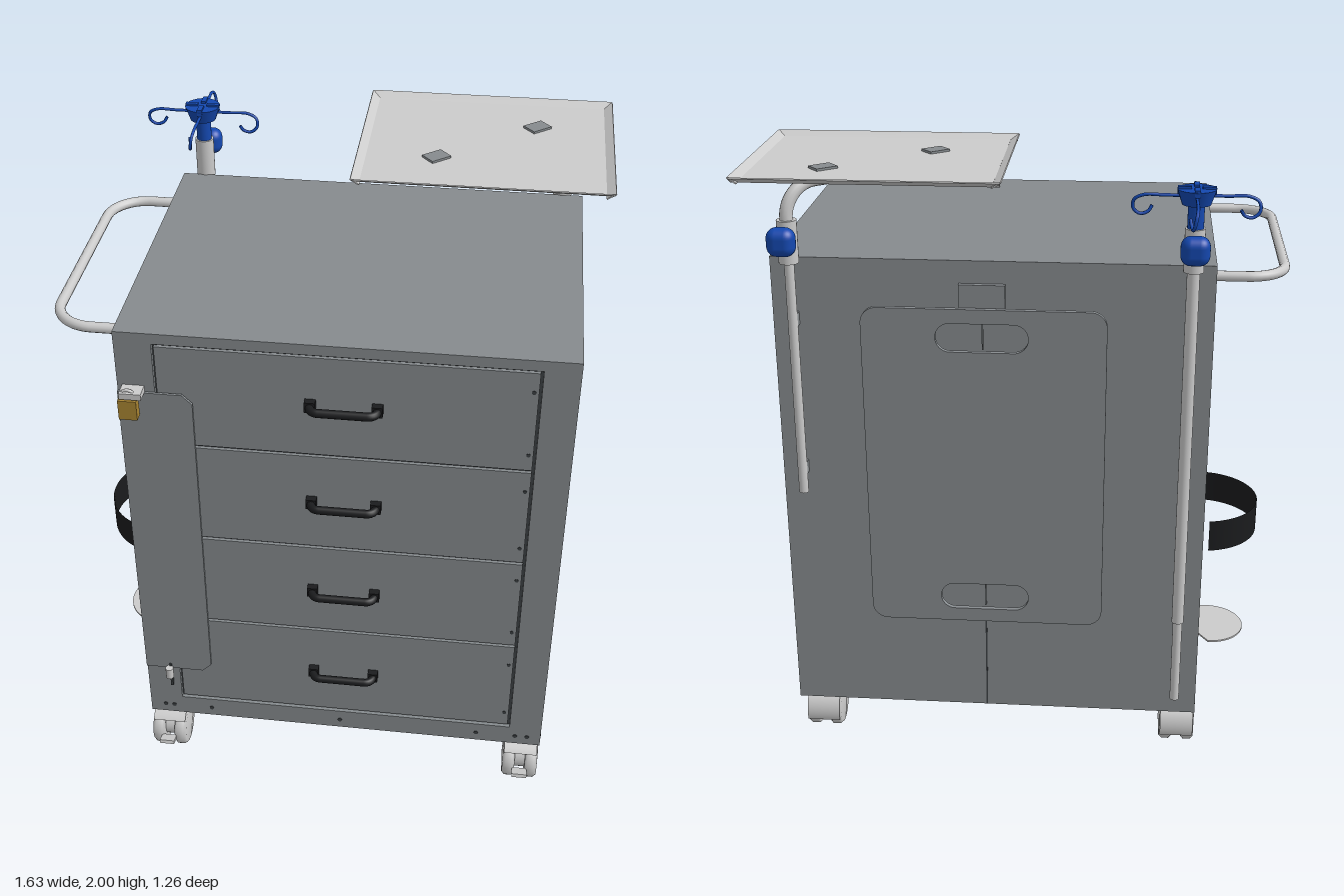
import * as THREE from 'three';
import { RoundedBoxGeometry } from 'three/addons/geometries/RoundedBoxGeometry.js';

const mat = (color) => new THREE.MeshStandardMaterial({ color, side: THREE.DoubleSide });
const V = (x, y, z) => new THREE.Vector3(x, y, z);

export function createModel() {
  const root = new THREE.Group();
  const steel = mat(0x868b8e), light = mat(0xcccccc), dark = mat(0x3c4043);
  const black = mat(0x1a1b1d), blue = mat(0x1448b0), brass = mat(0xa88432);

  const add = (name, geo, m, x = 0, y = 0, z = 0, parent = root) => {
    const mesh = new THREE.Mesh(geo, m);
    mesh.name = name;
    mesh.position.set(x, y, z);
    parent.add(mesh);
    return mesh;
  };
  // box given by its limits on each axis
  const box = (name, m, x0, x1, y0, y1, z0, z1, parent = root) =>
    add(name, new THREE.BoxGeometry(x1 - x0, y1 - y0, z1 - z0), m, (x0 + x1) / 2, (y0 + y1) / 2, (z0 + z1) / 2, parent);
  // cylinder along x, y or z
  const cyl = (name, m, r, len, axis, x, y, z, parent = root, rTop = r) => {
    const geo = new THREE.CylinderGeometry(rTop, r, len, 24);
    if (axis === 'x') geo.rotateZ(Math.PI / 2);
    if (axis === 'z') geo.rotateX(Math.PI / 2);
    return add(name, geo, m, x, y, z, parent);
  };
  // round tube through straight runs with rounded bends
  const bentTube = (name, m, pts, bend, r, parent = root) => {
    const path = new THREE.CurvePath();
    let from = pts[0];
    for (let i = 1; i < pts.length - 1; i++) {
      const a = pts[i].clone().add(pts[i - 1].clone().sub(pts[i]).setLength(bend));
      const b = pts[i].clone().add(pts[i + 1].clone().sub(pts[i]).setLength(bend));
      const c1 = a.clone().lerp(pts[i], 0.55), c2 = b.clone().lerp(pts[i], 0.55);
      path.add(new THREE.LineCurve3(from, a));
      path.add(new THREE.CubicBezierCurve3(a, c1, c2, b));
      from = b;
    }
    path.add(new THREE.LineCurve3(from, pts[pts.length - 1]));
    return add(name, new THREE.TubeGeometry(path, 64, r, 12), m, 0, 0, 0, parent);
  };
  const roundRect = (S, x0, x1, y0, y1, r) => {
    const s = new S();
    s.absarc(x1 - r, y1 - r, r, 0, Math.PI / 2);
    s.absarc(x0 + r, y1 - r, r, Math.PI / 2, Math.PI);
    s.absarc(x0 + r, y0 + r, r, Math.PI, Math.PI * 1.5);
    s.absarc(x1 - r, y0 + r, r, Math.PI * 1.5, Math.PI * 2);
    s.closePath();
    return s;
  };
  const polygon = (pts) => new THREE.Shape(pts.map(([x, y]) => new THREE.Vector2(x, y)));
  const extrude = (shape, depth) =>
    new THREE.ExtrudeGeometry(shape, { depth, bevelEnabled: false, curveSegments: 16 });

  // Cabinet body: plan outline (x, -z) with a recess in each side
  const plan = polygon([[-0.58, -0.555], [0.745, -0.555], [0.745, -0.375], [0.635, -0.375], [0.635, 0.21],
    [0.745, 0.21], [0.745, 0.42], [-0.58, 0.42], [-0.58, 0.21], [-0.47, 0.21], [-0.47, -0.375], [-0.58, -0.375]]);
  add('cabinetBody', extrude(plan, 1.51).rotateX(-Math.PI / 2), steel, 0, 0.19, 0);
  box('topPlate', steel, -0.58, 0.745, 1.7, 1.73, -0.42, 0.572);

  // Front frame and drawers
  const frame = polygon([[-0.58, 0.19], [0.745, 0.19], [0.745, 1.7], [-0.58, 1.7]]);
  frame.holes.push(polygon([[-0.47, 0.265], [0.64, 0.265], [0.64, 1.695], [-0.47, 1.695]]));
  add('frontFrame', extrude(frame, 0.016), steel, 0, 0, 0.555);
  box('drawerGapBacking', dark, -0.47, 0.64, 0.265, 1.695, 0.554, 0.557);
  const edges = [0.27, 0.635, 0.985, 1.34, 1.69];
  for (let i = 0; i < 4; i++) {
    box('drawerFront', steel, -0.464, 0.632, edges[i] + 0.005, edges[i + 1] - 0.005, 0.556, 0.568);
    const y = 0.455 + i * 0.357;
    bentTube('drawerHandle', black, [V(-0.015, y, 0.565), V(-0.015, y, 0.612), V(0.18, y, 0.612), V(0.18, y, 0.565)], 0.025, 0.013);
    for (const x of [-0.015, 0.18]) box('handleFoot', black, x - 0.016, x + 0.016, y - 0.017, y + 0.017, 0.566, 0.59);
    for (const dy of [0.06, 0.28]) cyl('drawerScrew', dark, 0.006, 0.004, 'z', 0.618, edges[i] + dy, 0.568);
  }

  // Locking bar, padlock and latch
  add('lockBar', extrude(polygon([[-0.58, 0.41], [-0.39, 0.41], [-0.36, 0.44], [-0.36, 1.5], [-0.39, 1.53], [-0.58, 1.53]]), 0.008),
    steel, 0, 0, 0.572);
  box('hasp', light, -0.565, -0.5, 1.53, 1.55, 0.57, 0.62);
  box('padlockBody', brass, -0.57, -0.515, 1.46, 1.525, 0.592, 0.622);
  add('padlockShackle', new THREE.TorusGeometry(0.02, 0.005, 8, 20, Math.PI), light, -0.542, 1.535, 0.607);
  for (const x of [-0.562, -0.522]) cyl('shackleLeg', light, 0.005, 0.025, 'y', x, 1.525, 0.607);
  box('latch', dark, -0.502, -0.494, 0.33, 0.43, 0.572, 0.583);
  cyl('latchPin', light, 0.013, 0.04, 'y', -0.5, 0.4, 0.592);

  // Screws along the foot, and on the side recess walls
  for (const x of [-0.53, -0.5, -0.37, 0.07, 0.53, 0.66, 0.7]) cyl('footScrew', dark, 0.007, 0.005, 'z', x, 0.225, 0.571);
  for (const [x, z] of [[0.636, 0.08], [-0.471, 0.08]]) {
    for (const dz of [-0.175, 0.175])
      for (const y of [0.455, 0.805, 1.165, 1.52]) cyl('sideScrew', dark, 0.007, 0.008, 'x', x, y, z + dz);
    for (const dz of [-0.265, 0.265])
      for (const y of [0.705, 1.21]) cyl('sideScrew', dark, 0.008, 0.008, 'x', x, y, z + dz);
  }
  for (const z of [0.54, 0.5, 0.46, 0.41, -0.25, -0.3, -0.34, -0.39])
    for (const x of [0.745, -0.58]) cyl('cornerScrew', dark, 0.006, 0.005, 'x', x, 0.21, z);

  // Power strip in the right recess
  const strip = extrude(roundRect(THREE.Shape, -0.06, 0.06, -0.21, 0.21, 0.059), 0.045).rotateY(Math.PI / 2);
  add('powerStrip', strip, black, 0.635, 0.625, 0.08);
  for (let i = 0; i < 4; i++) {
    add('socketRim', new THREE.TorusGeometry(0.038, 0.006, 8, 24).rotateY(Math.PI / 2), black, 0.682, 0.49 + i * 0.09, 0.08);
    for (const dz of [-0.014, 0.014]) cyl('socketHole', dark, 0.005, 0.004, 'x', 0.681, 0.49 + i * 0.09, 0.08 + dz);
  }

  // Back panel with two grip slots
  const panel = roundRect(THREE.Shape, -0.265, 0.475, 0.53, 1.59, 0.05);
  for (const y of [0.62, 1.5]) {
    panel.holes.push(roundRect(THREE.Path, -0.03, 0.25, y - 0.045, y + 0.045, 0.044));
    box('slotDivider', steel, 0.108, 0.112, y - 0.045, y + 0.045, -0.43, -0.419);
  }
  add('backPanel', extrude(panel, 0.016), steel, 0, 0, -0.456);
  box('panelSpacer', steel, 0.28, 0.44, 0.58, 1.54, -0.442, -0.419);
  box('panelSpacer', steel, -0.23, -0.06, 0.58, 1.54, -0.442, -0.419);
  box('backSeam', dark, 0.1075, 0.1125, 0.19, 0.53, -0.4215, -0.419);
  box('panelCatch', steel, 0.04, 0.18, 1.57, 1.66, -0.436, -0.419);

  // Push handle on the left side
  bentTube('pushHandle', light, [V(-0.57, 1.67, -0.32), V(-0.795, 1.67, -0.32), V(-0.795, 1.67, 0.465), V(-0.57, 1.67, 0.465)], 0.12, 0.016);

  // Bottle holder band and drip plate in the left recess
  const band = new THREE.CylinderGeometry(0.2, 0.2, 0.11, 32, 1, true, Math.PI * 1.05, Math.PI * 0.9);
  add('bottleBand', band, black, -0.583, 0.695, 0.075);
  box('bandArm', black, -0.615, -0.47, 0.64, 0.75, 0.269, 0.275);
  const drip = new THREE.Shape();
  drip.moveTo(-0.47, 0.05);
  drip.absarc(-0.635, -0.075, 0.125, Math.PI / 2, Math.PI * 1.5);
  drip.lineTo(-0.47, -0.2);
  add('dripPlate', extrude(drip, 0.006).rotateX(-Math.PI / 2), light, 0, 0.238, 0);

  // Two accessory poles on the back
  const pole = (x, bottom) => {
    const g = new THREE.Group();
    g.name = 'pole';
    g.position.set(x, 0, -0.445);
    root.add(g);
    cyl('poleTube', light, 0.015, 1.8 - bottom, 'y', 0, (1.8 + bottom) / 2, 0, g);
    cyl('poleSleeve', light, 0.03, 0.13, 'y', 0, 1.785, 0, g);
    cyl('knobScrew', light, 0.012, 0.06, 'z', 0, 1.805, -0.04, g);
    add('clampKnob', new RoundedBoxGeometry(0.085, 0.085, 0.065, 4, 0.03), blue, 0, 1.805, -0.08, g);
    for (const y of [1.03, 1.52]) box('poleClip', steel, -0.015, 0.015, y, y + 0.04, 0, 0.025, g);
    return g;
  };

  // Left pole with four infusion hooks
  const hookPole = pole(-0.51, 0.26);
  cyl('outerTube', light, 0.019, 1.18, 'y', 0, 1.14, 0, hookPole);
  cyl('hookStem', blue, 0.024, 0.1, 'y', 0, 1.89, 0, hookPole);
  cyl('hookHub', blue, 0.042, 0.045, 'y', 0, 1.943, 0, hookPole, 0.057);
  for (let i = 0; i < 4; i++) {
    const curve = new THREE.CatmullRomCurve3([V(0.03, 1.945, 0), V(0.09, 1.945, 0), V(0.15, 1.945, 0), V(0.178, 1.93, 0.003),
      V(0.18, 1.903, 0.008), V(0.16, 1.887, 0.012), V(0.137, 1.893, 0.016), V(0.126, 1.91, 0.02)]);
    add('hook', new THREE.TubeGeometry(curve, 40, 0.005, 8), blue, 0, 0, 0, hookPole).rotation.y = i * Math.PI / 2;
    const rib = box('hubRib', blue, 0.015, 0.055, 1.95, 1.972, -0.008, 0.008, hookPole);
    rib.position.applyAxisAngle(V(0, 1, 0), i * Math.PI / 2);
    rib.rotation.y = i * Math.PI / 2;
  }

  // Right pole with a bent arm carrying the tray
  pole(0.68, 0.97);
  bentTube('trayArm', light, [V(0.68, 1.8, -0.445), V(0.68, 1.955, -0.445), V(0.27, 1.955, -0.1)], 0.1, 0.02);
  cyl('armEnd', light, 0.024, 0.05, 'x', 0.27, 1.955, -0.1).rotation.y = 0.7;
  box('trayFloor', light, 0.065, 0.79, 1.98, 1.985, -0.535, 0.06);
  for (const s of [-1, 1]) {
    add('trayRim', new THREE.BoxGeometry(0.77, 0.004, 0.032), light, 0.4275, 1.99, -0.2375 + s * 0.31).rotation.x = -s * 0.55;
    add('trayRim', new THREE.BoxGeometry(0.032, 0.004, 0.64), light, 0.4275 + s * 0.375, 1.99, -0.2375).rotation.z = s * 0.55;
  }
  for (const [x, z] of [[0.28, -0.12], [0.58, -0.365]])
    box('trayClip', steel, x - 0.035, x + 0.035, 1.965, 1.992, z - 0.027, z + 0.027).rotation.y = 0.7;

  // Twin-wheel swivel casters
  for (const x of [-0.525, 0.685]) for (const z of [0.51, -0.275]) {
    const g = new THREE.Group();
    g.name = 'caster';
    g.position.set(x, 0, z);
    root.add(g);
    cyl('casterPlate', light, 0.035, 0.012, 'y', 0, 0.184, -0.035, g);
    cyl('casterStem', light, 0.018, 0.07, 'y', 0, 0.155, -0.035, g);
    cyl('casterHub', light, 0.05, 0.05, 'x', 0, 0.085, 0, g);
    for (const s of [-1, 1]) {
      const profile = [[0, -0.021], [0.068, -0.021], [0.077, -0.013], [0.077, 0.01], [0.068, 0.02], [0, 0.024]]
        .map(([r, h]) => new THREE.Vector2(r, h));
      add('wheel', new THREE.LatheGeometry(profile, 36).rotateZ(-s * Math.PI / 2), light, s * 0.038, 0.077, 0, g);
    }
    const hood = new THREE.CylinderGeometry(0.083, 0.083, 0.11, 24, 1, true, Math.PI * 0.25, Math.PI * 0.85);
    add('wheelHood', hood.rotateZ(Math.PI / 2), light, 0, 0.077, 0, g);
    const brake = box('brakeLever', light, -0.025, 0.025, 0.075, 0.087, 0.07, 0.115, g);
    brake.rotation.x = -0.35;
  }
  return root;
}
